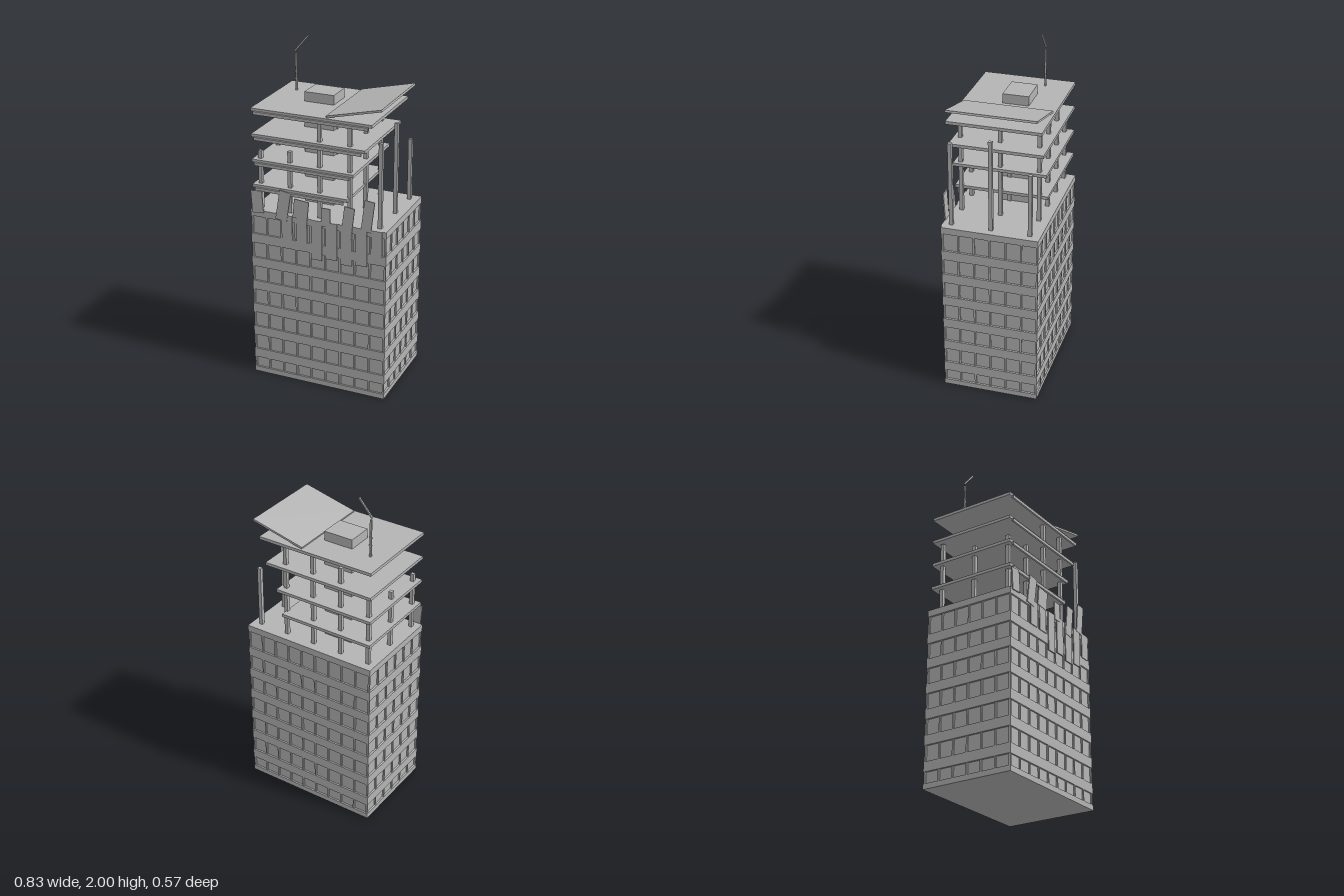
import * as THREE from 'three';

const concrete = new THREE.MeshStandardMaterial({ color: 0xb4b4b4 });
concrete.name = 'concrete grey';

export function createModel() {
  const model = new THREE.Group();
  model.name = 'ruinedTower';

  // Box given by its min and max on each axis
  const block = (name, x0, x1, y0, y1, z0, z1) => {
    const mesh = new THREE.Mesh(new THREE.BoxGeometry(x1 - x0, y1 - y0, z1 - z0), concrete);
    mesh.position.set((x0 + x1) / 2, (y0 + y1) / 2, (z0 + z1) / 2);
    mesh.name = name;
    model.add(mesh);
    return mesh;
  };
  // Box given by centre and size, turned about z
  const tilted = (name, x, y, z, w, h, d, angle) => {
    const mesh = block(name, x - w / 2, x + w / 2, y - h / 2, y + h / 2, z - d / 2, z + d / 2);
    mesh.rotation.z = angle;
    return mesh;
  };

  const storey = 0.151, zMid = -0.0045;

  // Intact lower tower: recessed walls with projecting bands
  block('towerWalls', -0.404, 0.404, 0.005, 1.058, -0.276, 0.267);
  const band = (y0, y1) => block('floorBand', -0.416, 0.416, y0, y1, -0.286, 0.277);
  band(0, 0.032);
  for (let i = 0; i < 6; i++) band(0.098 + i * storey, 0.156 + i * storey);
  band(1.02, 1.06);

  // Window mullions: nine bays wide, six bays deep
  for (let i = 0; i <= 9; i++) {
    const x = -0.408 + i * 0.0907;
    for (const z of [-0.279, 0.270]) block('mullion', x - 0.005, x + 0.005, 0.01, 1.055, z - 0.005, z + 0.005);
  }
  for (let i = 1; i < 6; i++) {
    const z = zMid - 0.2745 + i * 0.0915;
    for (const x of [-0.407, 0.407]) block('mullion', x - 0.005, x + 0.005, 0.01, 1.055, z - 0.005, z + 0.005);
  }

  // Stair core and exposed floor slabs, shorter on the collapsed side
  block('stairCore', -0.18, 0, 1.06, 1.722, -0.11, 0.042);
  [0.178, 0.213, 0.282, 0.32].forEach((end, i) => {
    const y = 1.21 + i * storey;
    block('floorSlab', -0.405, end, y - 0.015, y + 0.003, -0.274, 0.268);
    block('edgeBeam', -0.385, end - 0.02, y - 0.03, y - 0.012, 0.268, 0.279);
  });

  // Columns: top heights by row (front, middle, back)
  const columnTops = [
    [0.23, [1.41, 1.43, 1.65, 1.65, 1.56]],
    [0, [1.41, 1.65, 1.65, 1.65, 1.6]],
    [-0.225, [1.49, 1.61, 1.65, 1.65, 1.43]],
  ];
  for (const [z, tops] of columnTops) {
    tops.forEach((top, i) => {
      const x = -0.367 + i * 0.182;
      block('column', x - 0.011, x + 0.011, 1.06, top, z - 0.011, z + 0.011);
    });
  }

  // Lifted roof plate
  tilted('brokenRoofPlate', 0.207, 1.709, -0.004, 0.333, 0.012, 0.512, 0.235);

  // Snapped antenna mast
  block('antennaMast', -0.31, -0.3, 1.66, 1.888, -0.127, -0.117);
  for (const y of [1.735, 1.78]) block('antennaRung', -0.315, -0.295, y - 0.003, y + 0.003, -0.126, -0.118);
  tilted('antennaTip', -0.271, 1.947, -0.122, 0.13, 0.009, 0.009, 0.86);

  // Facade panels hanging over the upper windows
  [0.909, 0.909, 0.818, 0.835, 0.818, 0.832, 0.905].forEach((bottom, i) => {
    const x = -0.186 + i * 0.091;
    block('hangingPanel', x - 0.033, x + 0.033, bottom, 1.06, 0.275, 0.282);
  });

  // Loose panels standing above the roof edge: x, y, width, height, tilt
  [
    [-0.37, 1.115, 0.07, 0.135, 0.07],
    [-0.207, 1.115, 0.07, 0.18, -0.16],
    [-0.098, 1.11, 0.09, 0.115, -0.1],
    [0.055, 1.09, 0.055, 0.11, 0],
    [0.188, 1.08, 0.062, 0.19, -0.12],
    [0.308, 1.14, 0.06, 0.185, -0.12],
  ].forEach(([x, y, w, h, a]) => tilted('loosePanel', x, y, 0.281, w, h, 0.007, a));

  return model;
}
